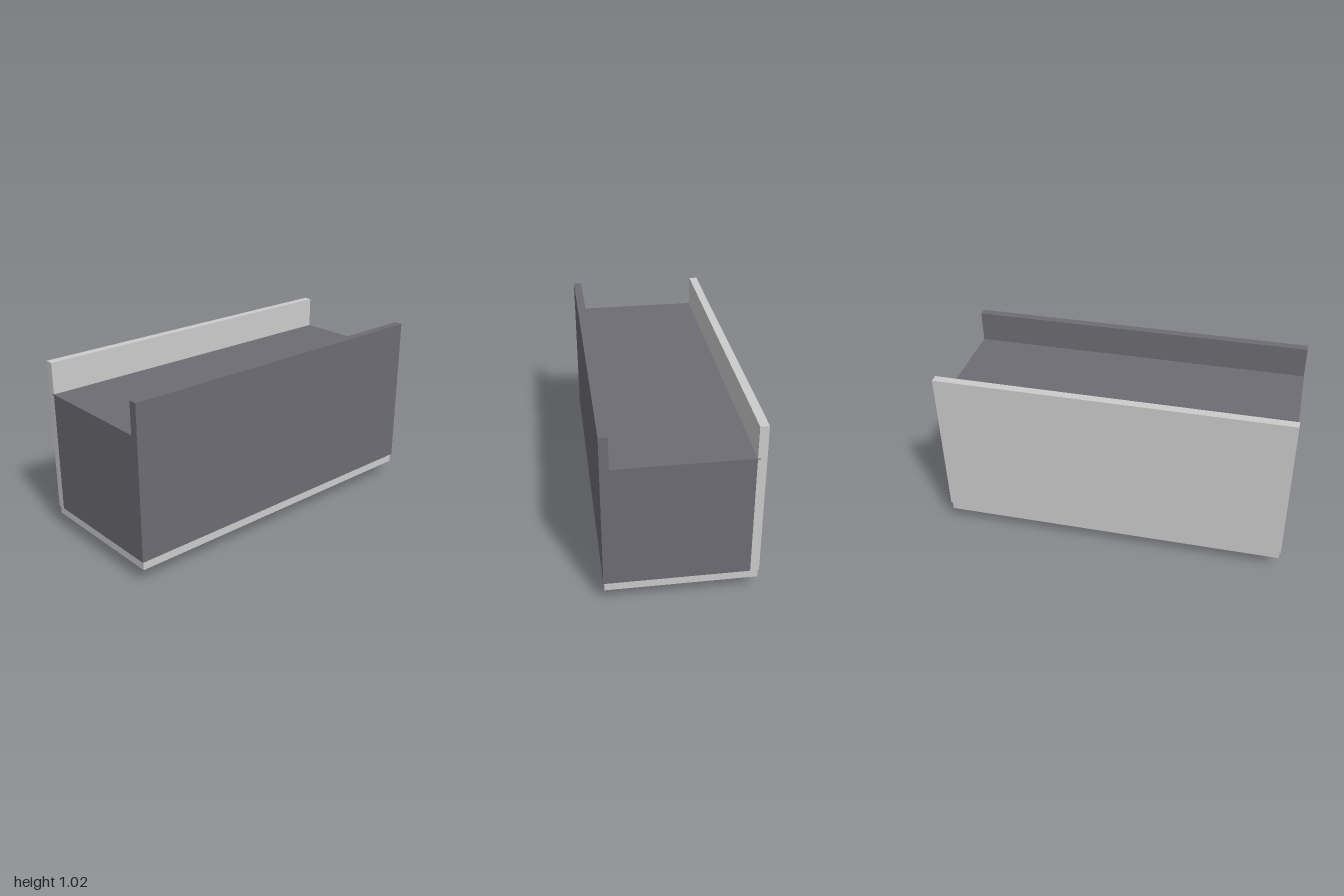
import * as THREE from 'three';

const light = new THREE.MeshStandardMaterial({ color: 0xcccccc });
const dark = new THREE.MeshStandardMaterial({ color: 0x6d6c73 });
const metal = new THREE.MeshStandardMaterial({ color: 0x808080 });

// Flat board given by its extents on each axis
function board(name, material, [x0, x1], [y0, y1], [z0, z1]) {
  const mesh = new THREE.Mesh(new THREE.BoxGeometry(x1 - x0, y1 - y0, z1 - z0), material);
  mesh.position.set((x0 + x1) / 2, (y0 + y1) / 2, (z0 + z1) / 2);
  mesh.name = name;
  return mesh;
}

function rod(name, radius, length) {
  const mesh = new THREE.Mesh(new THREE.CylinderGeometry(radius, radius, length, 24), metal);
  mesh.name = name;
  return mesh;
}

// Bar handle on two posts, under the door
function makeHandle() {
  const handle = new THREE.Group();
  handle.name = 'handle';
  const bar = rod('handleBar', 0.0135, 0.27);
  bar.rotation.x = Math.PI / 2;
  bar.position.y = 0.0135;
  handle.add(bar);
  for (const z of [-0.067, 0.067]) {
    const post = rod('handlePost', 0.0075, 0.074);
    post.position.set(0, 0.051, z);
    handle.add(post);
  }
  handle.position.set(0.263, 0, -0.732);
  return handle;
}

export function createModel() {
  const cabinet = new THREE.Group();
  cabinet.name = 'cabinet';
  const bottom = 0.136, top = 1.023, t = 0.048;

  // Long side panels
  cabinet.add(board('rightSidePanel', light, [-0.415, -0.367], [bottom, top], [-1, 1]));
  cabinet.add(board('leftSidePanel', dark, [0.365, 0.413], [bottom, top], [-1, 1]));

  // End panels closing the hollow carcass
  for (const s of [-1, 1]) {
    const z = s > 0 ? [1 - t, 1] : [-1, -1 + t];
    cabinet.add(board('endPanel', dark, [-0.367, 0.365], [bottom, 0.835], z));
  }

  // Thin back sheet, let into grooves in the side panels
  cabinet.add(board('backSheet', dark, [-0.382, 0.38], [0.835, 0.841], [-1.0005, 1.0005]));

  // Door, slightly smaller than the carcass
  cabinet.add(board('door', light, [-0.41, 0.408], [0.087, 0.135], [-0.993, 0.994]));
  cabinet.add(makeHandle());
  return cabinet;
}
